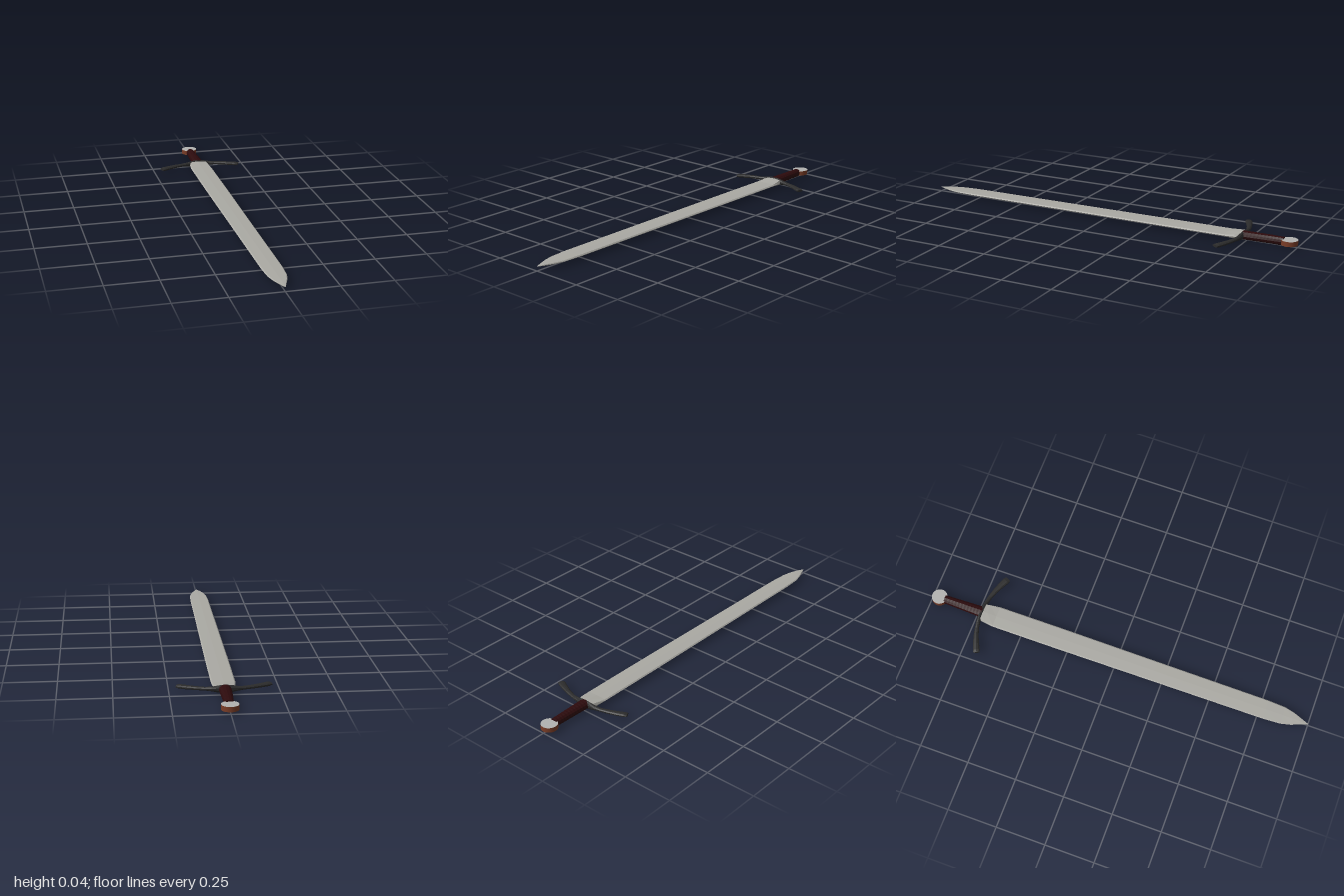
import * as THREE from 'three';

const MID = 0.022; // height of the sword's centre plane

// Skin closed rings of [x, y, z] points with flat-shaded faces and end caps
function loft(rings) {
  const pos = [];
  const tri = (a, b, c) => pos.push(...a, ...b, ...c);
  const n = rings[0].length;
  for (let r = 0; r < rings.length - 1; r++) {
    for (let i = 0; i < n; i++) {
      const j = (i + 1) % n, a = rings[r], b = rings[r + 1];
      tri(a[i], a[j], b[j]);
      tri(a[i], b[j], b[i]);
    }
  }
  const first = rings[0], last = rings[rings.length - 1];
  for (let i = 1; i < n - 1; i++) {
    tri(first[0], first[i + 1], first[i]);
    tri(last[0], last[i], last[i + 1]);
  }
  const g = new THREE.BufferGeometry();
  g.setAttribute('position', new THREE.Float32BufferAttribute(pos, 3));
  g.computeVertexNormals();
  return g;
}

// Unit ellipse points, counter-clockwise
const circle = (n) => Array.from({ length: n }, (_, i) => {
  const a = (i / n) * Math.PI * 2;
  return [Math.cos(a), Math.sin(a)];
});

export function createModel() {
  const mat = (name, color) => {
    const m = new THREE.MeshStandardMaterial({ color });
    m.name = name;
    return m;
  };
  const steel = mat('steel', 0xaaa9a3);
  const iron = mat('dark iron', 0x2b2b2b);
  const leather = mat('dark red leather', 0x2c0a0c);
  const copper = mat('copper', 0x7a3d27);
  const silver = mat('silver', 0xb2b2b0);

  const group = new THREE.Group();
  group.name = 'sword';
  const add = (name, geometry, material) => {
    const mesh = new THREE.Mesh(geometry, material);
    mesh.name = name;
    group.add(mesh);
    return mesh;
  };

  // Blade: shallow ridge with bevelled edges; stations are [z, half width, half thickness]
  const section = [[1, 0], [0.9, 0.8], [0, 1], [-0.9, 0.8], [-1, 0], [-0.9, -0.8], [0, -1], [0.9, -0.8]];
  const blade = [
    [-0.73, 0.044, 0.015], [-0.70, 0.05, 0.012], [-0.65, 0.056, 0.006], [-0.3, 0.056, 0.006],
    [0.2, 0.053, 0.006], [0.78, 0.05, 0.006], [0.87, 0.045, 0.005], [0.92, 0.033, 0.005],
    [0.96, 0.017, 0.004], [1.0, 0.001, 0.0005],
  ];
  add('blade', loft(blade.map(([z, w, t]) => section.map(([u, v]) => [u * w, MID + v * t, z]))), steel);

  // Crossguard: curved arms, stations are [x, z, half height, half depth], mirrored about x = 0
  const arm = [
    [0.03, -0.729, 0.017, 0.011], [0.06, -0.726, 0.011, 0.011], [0.09, -0.72, 0.008, 0.011],
    [0.13, -0.708, 0.0085, 0.013], [0.17, -0.692, 0.009, 0.016], [0.2, -0.678, 0.009, 0.018],
    [0.213, -0.672, 0.006, 0.016],
  ];
  const guard = [
    ...arm.map(([x, ...rest]) => [-x, ...rest]).reverse(),
    [0, -0.73, 0.0205, 0.012],
    ...arm,
  ];
  const guardRings = guard.map(([x, z, h, d], i) => {
    const p = guard[Math.max(i - 1, 0)], q = guard[Math.min(i + 1, guard.length - 1)];
    const len = Math.hypot(q[0] - p[0], q[1] - p[1]);
    const tx = (q[0] - p[0]) / len, tz = (q[1] - p[1]) / len;
    return circle(10).map(([u, v]) => [x - tz * v * d, MID + u * h, z + tx * v * d]);
  });
  add('crossguard', loft(guardRings), iron);

  // Grip: tapered oval with shallow wrapped ridges
  const gripRings = [];
  const steps = 24;
  for (let i = 0; i <= steps; i++) {
    const t = i / steps;
    const ridge = i % 2 ? 1 : 0.96;
    const w = (0.022 + 0.008 * t) * ridge, h = 0.0213 * ridge;
    gripRings.push(circle(12).map(([u, v]) => [u * w, MID + v * h, -0.932 + 0.205 * t]));
  }
  add('grip', loft(gripRings), leather);

  // Pommel: flat disc with a copper rim and silver faces
  const pommel = add('pommel', new THREE.CylinderGeometry(0.04, 0.04, 0.024, 24), [copper, silver, silver]);
  pommel.position.set(0, MID, -0.96);

  return group;
}
